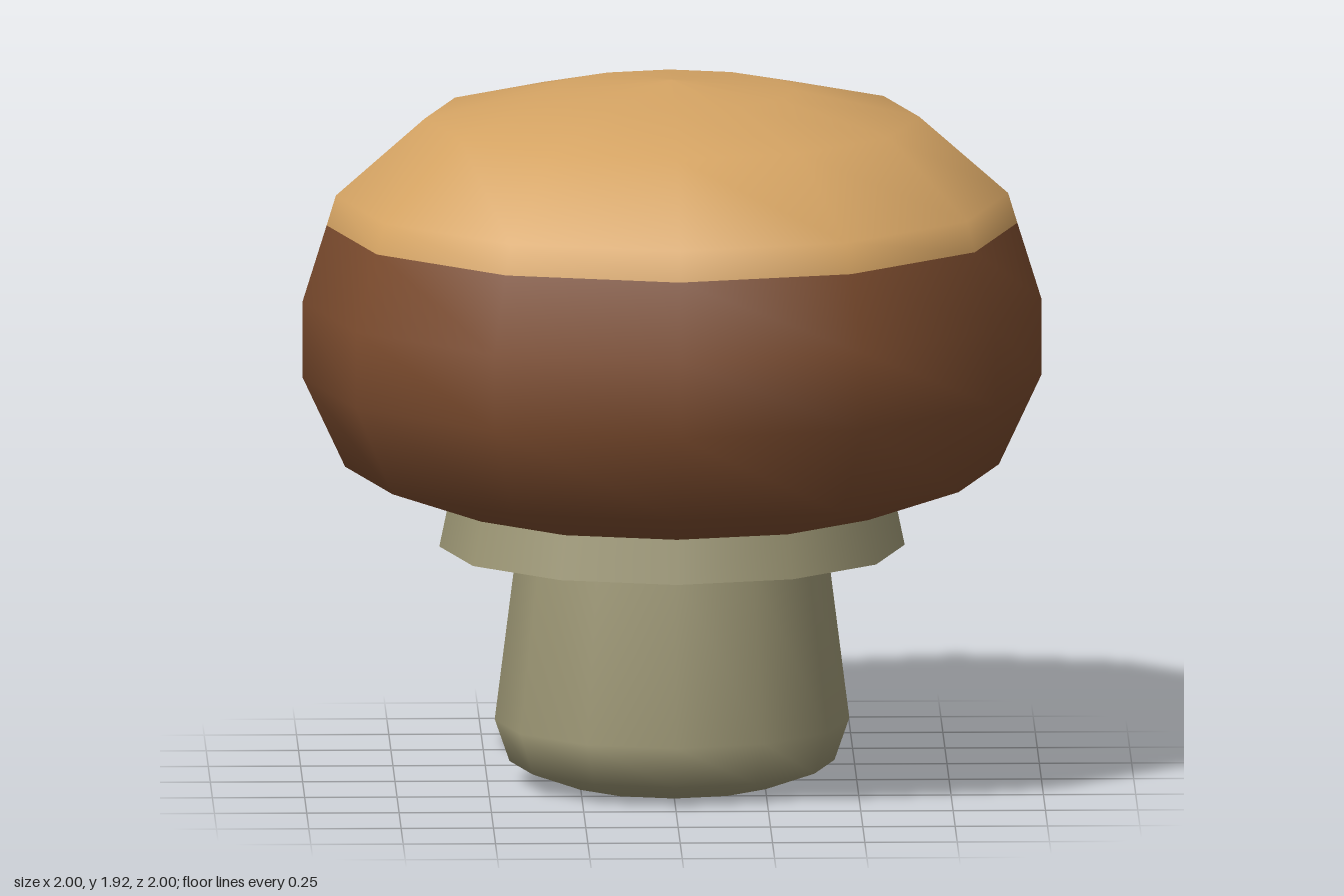
import * as THREE from 'three';

const SIDES = 12;

function material(name, color) {
  const m = new THREE.MeshStandardMaterial({ color });
  m.name = name;
  return m;
}

function lathe(profile) {
  return new THREE.LatheGeometry(profile.map(([r, y]) => new THREE.Vector2(r, y)), SIDES);
}

export function createModel() {
  const tan = material('tan', 0xd4a363);
  const brown = material('brown', 0x7e4d2f);
  const stemGreen = material('stemGreen', 0x9d9775);

  const model = new THREE.Group();
  model.name = 'mushroom';
  function add(name, geometry, mat) {
    const mesh = new THREE.Mesh(geometry, mat);
    mesh.name = name;
    model.add(mesh);
    return mesh;
  }

  // Stem with a rounded foot, tapering upwards
  add('stem', lathe([[0, 0], [0.29, 0], [0.44, 0.055], [0.48, 0.17], [0.42, 0.645], [0.41, 0.7]]), stemGreen);

  // Flared collar under the cap
  const collar = add('collar', new THREE.CylinderGeometry(0.605, 0.63, 0.12, SIDES), stemGreen);
  collar.position.y = 0.705;

  // Cap: one smooth surface, brown below the fifth ring and tan above it
  const profile = [
    [0.6, 0.763], [0.885, 0.865], [1, 1.11], [1, 1.32], [0.935, 1.528],
    [0.91, 1.61], [0.67, 1.82], [0.335, 1.895], [0, 1.925],
  ];
  const cap = lathe(profile);
  const bands = profile.length - 1;
  const brownBands = 4;
  for (let i = 0; i < SIDES; i++) {
    const start = i * bands * 6;
    cap.addGroup(start, brownBands * 6, 0);
    cap.addGroup(start + brownBands * 6, (bands - brownBands) * 6, 1);
  }
  add('cap', cap, [brown, tan]);

  return model;
}
